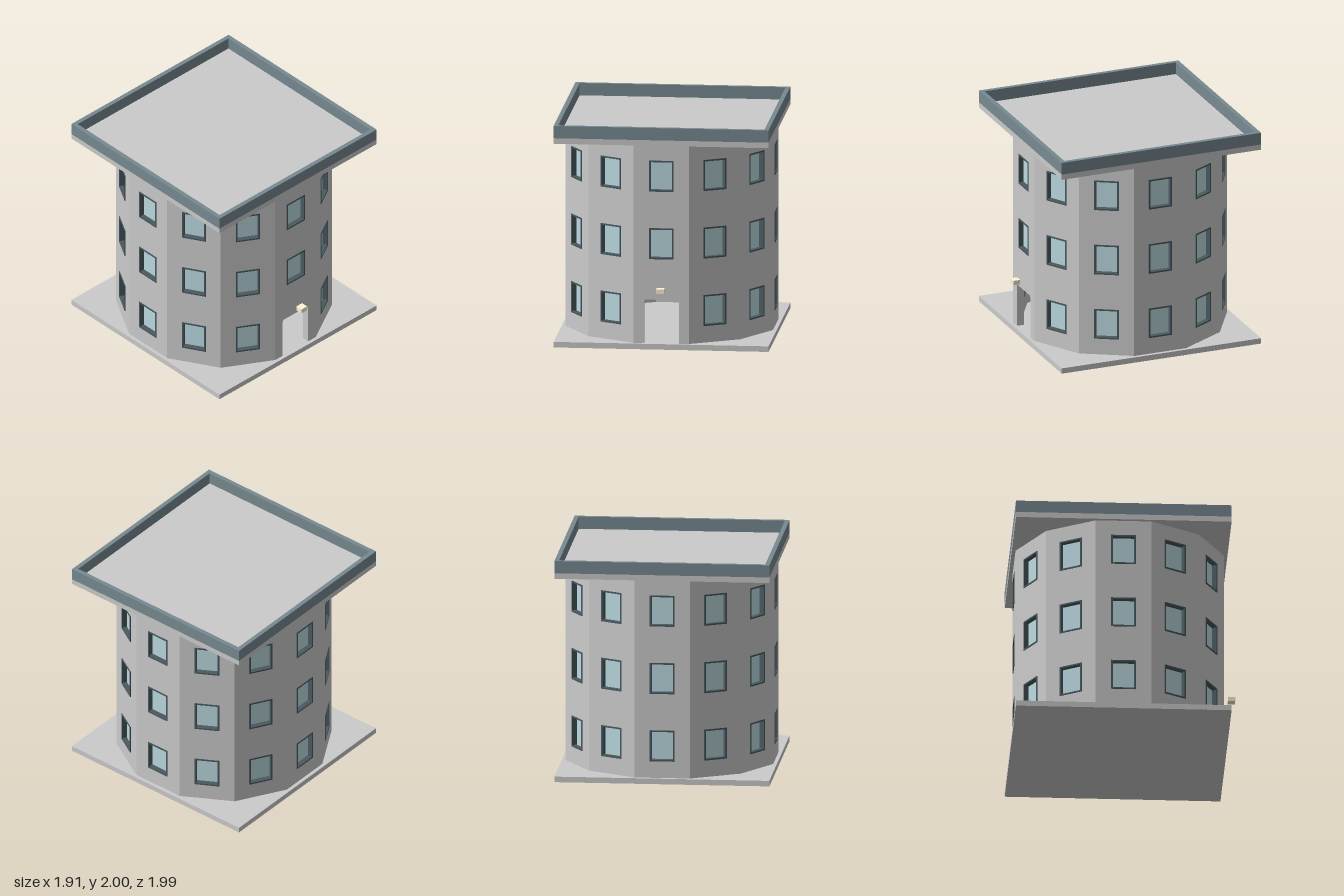
import * as THREE from 'three';

const SIDES = 12, APOTHEM = 0.922, THICK = 0.065;
const HALF = APOTHEM * Math.tan(Math.PI / SIDES);   // half width of one wall panel
const BASE = 0.05, WALL_TOP = 1.84, SLAB = 1.91;
const WIN_W = 0.22, WIN_H = 0.28, RIM = 0.014;
const FLOORS = [0.34, 0.95, 1.56];                  // window centre heights

const mat = (color) => new THREE.MeshStandardMaterial({ color, flatShading: true });
const grey = mat(0xcccccc), slate = mat(0x778a91), dark = mat(0x4a5a60);
const glassMat = mat(0xbcdbe2), cream = mat(0xfff6d6);

function part(name, geometry, material, x = 0, y = 0, z = 0) {
  const mesh = new THREE.Mesh(geometry, material);
  mesh.name = name;
  mesh.position.set(x, y, z);
  return mesh;
}

const box = (name, w, h, d, material, x, y, z) =>
  part(name, new THREE.BoxGeometry(w, h, d), material, x, y, z);

function rectPath(Type, w, h, cy = 0) {
  const p = new Type();
  p.moveTo(-w / 2, cy - h / 2);
  p.lineTo(w / 2, cy - h / 2);
  p.lineTo(w / 2, cy + h / 2);
  p.lineTo(-w / 2, cy + h / 2);
  p.closePath();
  return p;
}

const extrude = (shape, depth) => new THREE.ExtrudeGeometry(shape, { depth, bevelEnabled: false });

// Wall panel with window holes, and optionally a doorway with clipped top corners
function wallGeometry(floors, door) {
  const s = new THREE.Shape();
  s.moveTo(-HALF, BASE);
  if (door) {
    for (const [x, y] of [[-0.155, BASE], [-0.155, 0.42], [-0.145, 0.443],
      [0.145, 0.443], [0.155, 0.42], [0.155, BASE]]) s.lineTo(x, y);
  }
  s.lineTo(HALF, BASE);
  s.lineTo(HALF, WALL_TOP);
  s.lineTo(-HALF, WALL_TOP);
  s.closePath();
  for (const y of floors) s.holes.push(rectPath(THREE.Path, WIN_W - 0.01, WIN_H - 0.01, y));
  return extrude(s, THICK);
}

export function createModel() {
  const model = new THREE.Group();
  model.name = 'building';
  const body = new THREE.Group();
  body.name = 'body';
  body.position.z = -0.04;
  model.add(body);

  // Square ground slab and roof slab
  body.add(box('groundSlab', SLAB, BASE, SLAB, grey, 0, BASE / 2, 0));
  body.add(box('roofSlab', SLAB, 0.05, SLAB, grey, 0, 1.865, 0));

  // Parapet ring round the roof edge
  const ring = rectPath(THREE.Shape, SLAB, SLAB);
  ring.holes.push(rectPath(THREE.Path, SLAB - 0.08, SLAB - 0.08));
  const parapet = part('parapet', extrude(ring, 0.11), slate, 0, 1.89, 0);
  parapet.rotation.x = -Math.PI / 2;
  body.add(parapet);

  // Shared window parts
  const frameShape = rectPath(THREE.Shape, WIN_W, WIN_H);
  frameShape.holes.push(rectPath(THREE.Path, WIN_W - 2 * RIM, WIN_H - 2 * RIM));
  const frameGeo = extrude(frameShape, THICK + 0.01);
  const glassGeo = new THREE.BoxGeometry(WIN_W - RIM, WIN_H - RIM, 0.01);
  const plainWall = wallGeometry(FLOORS, false);
  const doorWall = wallGeometry(FLOORS.slice(1), true);

  // Twelve wall sides; the front one has the doorway
  for (let i = 0; i < SIDES; i++) {
    const side = new THREE.Group();
    side.name = i === 0 ? 'frontSide' : 'wallSide';
    side.rotation.y = (i / SIDES) * Math.PI * 2;
    side.add(part('wall', i === 0 ? doorWall : plainWall, grey, 0, 0, APOTHEM - THICK));
    for (const y of i === 0 ? FLOORS.slice(1) : FLOORS) {
      side.add(part('windowFrame', frameGeo, dark, 0, y, APOTHEM - THICK - 0.004));
      side.add(part('windowGlass', glassGeo, glassMat, 0, y, APOTHEM - 0.045));
    }
    body.add(side);
  }

  // Lamp in front of the doorway
  model.add(box('doorLamp', 0.07, 0.042, 0.065, cream, 0, 0.54, 0.9625));
  return model;
}
